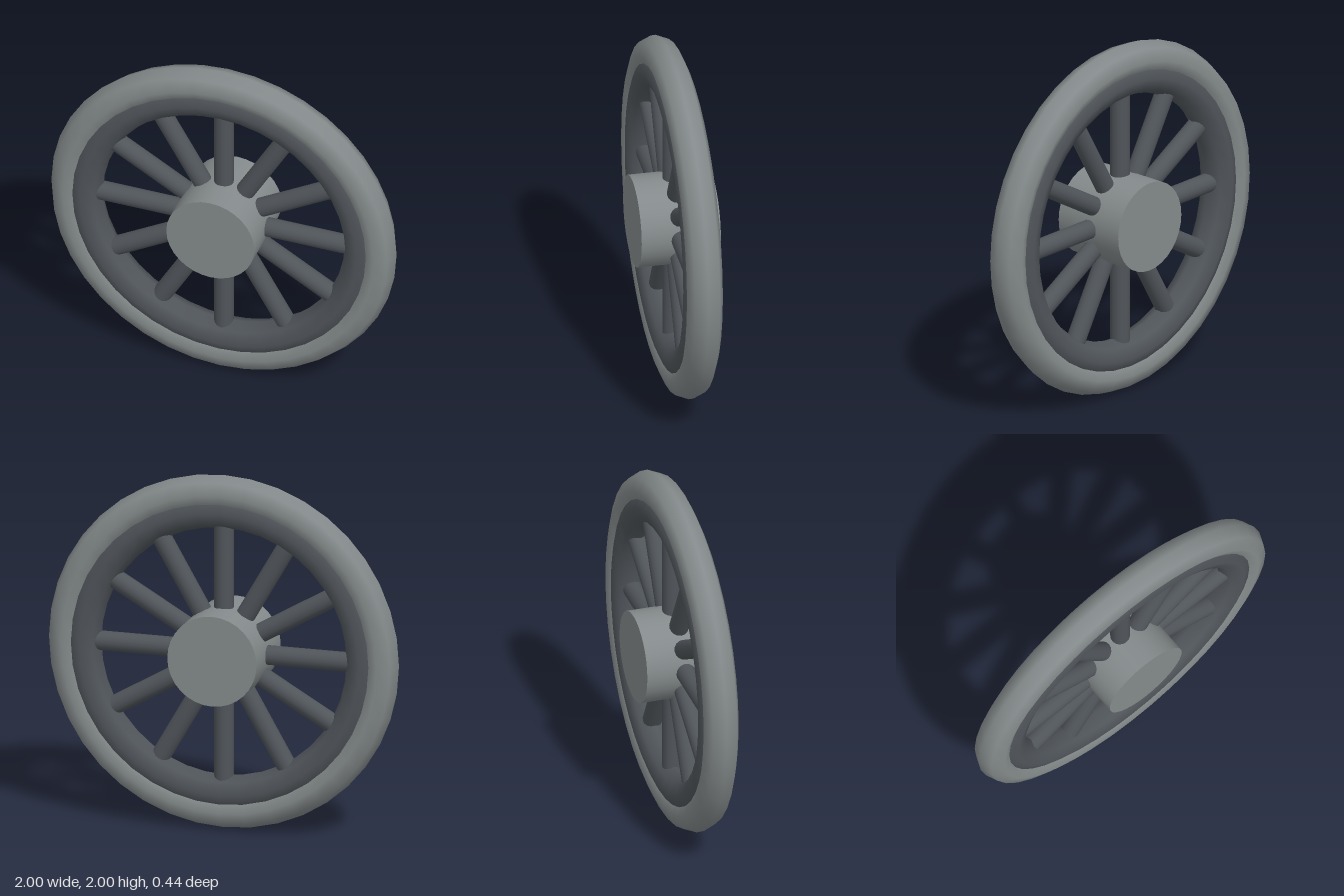
import * as THREE from 'three';

export function createModel() {
  const lightGrey = new THREE.MeshStandardMaterial({ color: 0x848a8b });
  lightGrey.name = 'lightGrey';
  const darkGrey = new THREE.MeshStandardMaterial({ color: 0x50555a });
  darkGrey.name = 'darkGrey';

  const model = new THREE.Group();
  model.name = 'spokedWheel';
  const wheel = new THREE.Group();
  wheel.name = 'wheel';
  wheel.position.y = 1;
  model.add(wheel);

  const add = (name, geometry, material, parent = wheel) => {
    const mesh = new THREE.Mesh(geometry, material);
    mesh.name = name;
    parent.add(mesh);
    return mesh;
  };

  // Overlapping rings: outer tyre and inner rim
  add('tyre', new THREE.TorusGeometry(0.9, 0.1, 8, 40), lightGrey);
  add('rim', new THREE.TorusGeometry(0.8, 0.1, 8, 40), darkGrey);

  // Hub drum along the axle
  const hub = new THREE.CylinderGeometry(0.255, 0.255, 0.44, 32);
  hub.rotateX(Math.PI / 2);
  add('hub', hub, lightGrey);

  // Twelve round spokes from inside the hub into the rim
  const spokes = new THREE.Group();
  spokes.name = 'spokes';
  wheel.add(spokes);
  const spoke = new THREE.CylinderGeometry(0.054, 0.054, 0.6, 16);
  spoke.translate(0, 0.5, 0);
  for (let i = 0; i < 12; i++) {
    add('spoke', spoke, darkGrey, spokes).rotation.z = (i * Math.PI) / 6;
  }

  return model;
}
